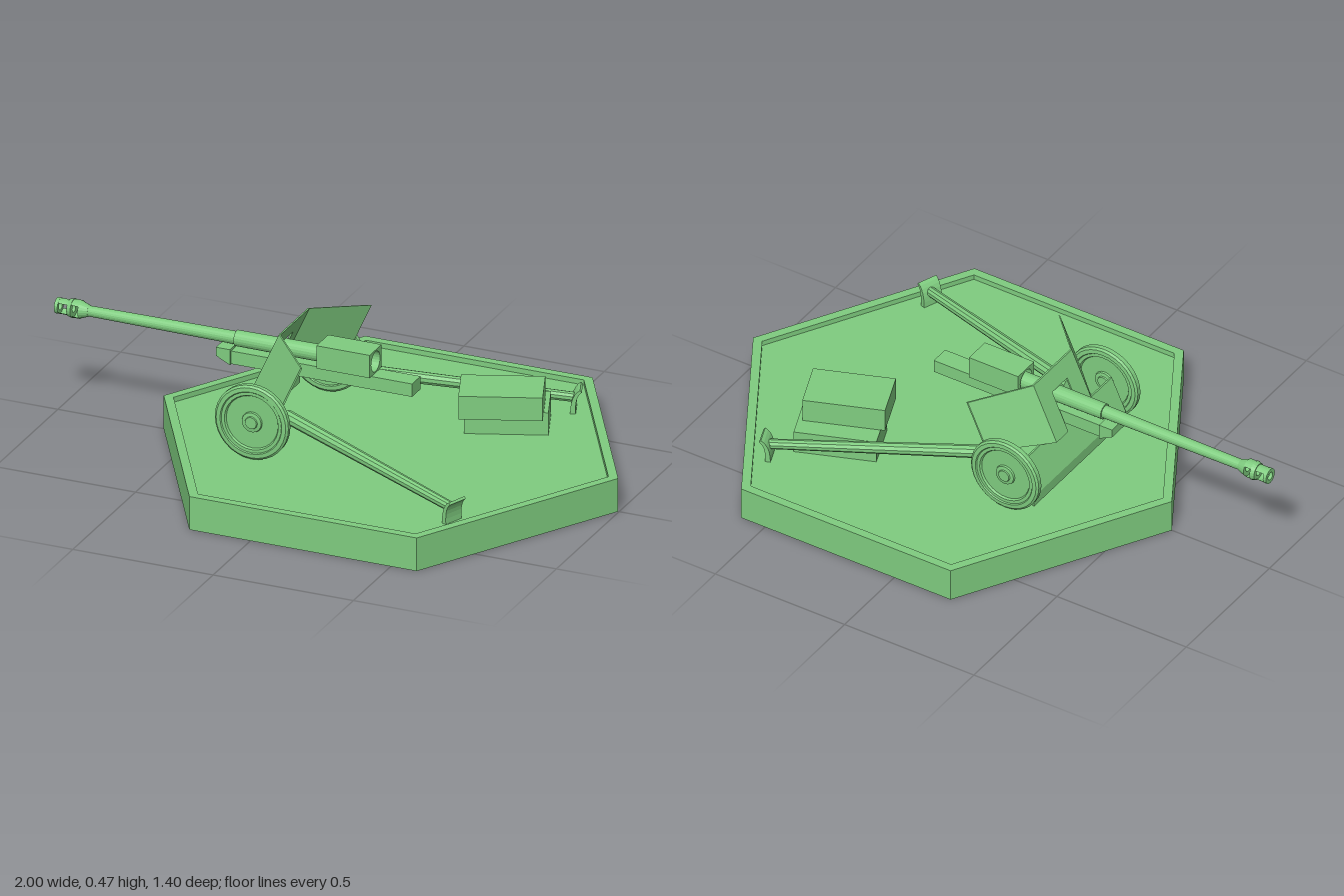
import * as THREE from 'three';

const mat = new THREE.MeshStandardMaterial({ color: 0x7fcc7f, flatShading: true, side: THREE.DoubleSide });
const CZ = 0.006;    // centre line of the gun
const BARREL_Y = 0.374;
const FLOOR = 0.1;

function add(parent, name, geometry, x = 0, y = 0, z = 0) {
  const m = new THREE.Mesh(geometry, mat);
  m.name = name;
  m.position.set(x, y, z);
  parent.add(m);
  return m;
}

// Box from its limits
function block(parent, name, x0, x1, y0, y1, z0, z1) {
  return add(parent, name, new THREE.BoxGeometry(x1 - x0, y1 - y0, z1 - z0),
    (x0 + x1) / 2, (y0 + y1) / 2, (z0 + z1) / 2);
}

// Round part turned about the x axis from [x, radius] pairs
function turned(pairs, segments = 20) {
  return new THREE.LatheGeometry(pairs.map(([x, r]) => new THREE.Vector2(r, x)), segments).rotateZ(-Math.PI / 2);
}

// Flat plate between coplanar corners, thickened along x
function plate(corners, t = 0.006) {
  const n = corners.length, pos = [], idx = [];
  for (const dx of [-t / 2, t / 2]) corners.forEach(([x, y, z]) => pos.push(x + dx, y, z));
  for (let i = 1; i < n - 1; i++) idx.push(0, i, i + 1, n, n + i + 1, n + i);
  for (let i = 0; i < n; i++) {
    const j = (i + 1) % n;
    idx.push(i, n + i, j, j, n + i, n + j);
  }
  const g = new THREE.BufferGeometry();
  g.setAttribute('position', new THREE.Float32BufferAttribute(pos, 3));
  g.setIndex(idx);
  const flat = g.toNonIndexed();
  flat.computeVertexNormals();
  return flat;
}

function hexagon(r) {
  return Array.from({ length: 6 }, (_, i) =>
    new THREE.Vector2(r * Math.cos(i * Math.PI / 3), r * Math.sin(i * Math.PI / 3)));
}

function makeBase() {
  const base = new THREE.Group();
  base.name = 'base';
  const up = (shape, depth) => new THREE.ExtrudeGeometry(shape, { depth, bevelEnabled: false }).rotateX(-Math.PI / 2);
  const rim = new THREE.Shape(hexagon(0.81));
  rim.holes.push(new THREE.Path(hexagon(0.775)));
  add(base, 'baseRim', up(rim, 0.118), 0.187);
  add(base, 'baseFloor', up(new THREE.Shape(hexagon(0.776)), FLOOR), 0.187);
  return base;
}

function makeBarrel() {
  const g = new THREE.Group();
  g.name = 'barrelAssembly';
  g.position.set(0, BARREL_Y, CZ);
  add(g, 'barrel', turned([[-0.9, 0], [-0.9, 0.018], [-0.36, 0.022], [-0.36, 0.027], [-0.04, 0.029], [-0.04, 0]]));
  // Muzzle brake: three rings joined by curved bars above and below, open at the sides
  const ring = (name, x0, r0, x1, r1) =>
    add(g, name, turned([[x0, 0.014], [x0, r0], [x1, r1], [x1, 0.014], [x0, 0.014]]));
  ring('muzzleRing', -1, 0.027, -0.988, 0.027);
  ring('middleRing', -0.955, 0.029, -0.94, 0.033);
  ring('rearRing', -0.915, 0.03, -0.885, 0.019);
  for (const s of [1, -1]) {
    for (const [x0, x1, r] of [[-0.99, -0.953, 0.026], [-0.942, -0.913, 0.031]]) {
      const start = (s > 0 ? 1.5 : 0.5) * Math.PI - 0.9;
      const bar = new THREE.CylinderGeometry(r, r, x1 - x0, 8, 1, true, start, 1.8).rotateZ(-Math.PI / 2);
      add(g, 'brakeBar', bar, (x0 + x1) / 2);
    }
  }
  // Breech with a round opening at its rear
  const square = new THREE.Shape([[-0.048, -0.034], [0.048, -0.034], [0.048, 0.047], [-0.048, 0.047]]
    .map(p => new THREE.Vector2(...p)));
  square.holes.push(new THREE.Path().absarc(0, 0.006, 0.035, 0, Math.PI * 2, true));
  add(g, 'breech', new THREE.ExtrudeGeometry(square, { depth: 0.19, bevelEnabled: false, curveSegments: 12 })
    .rotateY(Math.PI / 2), -0.055);
  return g;
}

function makeCradle() {
  const g = new THREE.Group();
  g.name = 'cradle';
  block(g, 'cradleBeam', -0.37, 0.28, 0.294, 0.34, CZ - 0.034, CZ + 0.034);
  const nose = new THREE.Shape([[-0.415, 0.348], [-0.415, 0.318], [-0.365, 0.293], [-0.365, 0.348]]
    .map(p => new THREE.Vector2(...p)));
  add(g, 'cradleNose', new THREE.ExtrudeGeometry(nose, { depth: 0.086, bevelEnabled: false }), 0, 0, CZ - 0.043);
  return g;
}

function makeShield() {
  const g = new THREE.Group();
  g.name = 'shield';
  const slope = y => -0.155 + (y - 0.47) * 0.457;
  const at = (y, z) => [slope(y), y, CZ + z];
  const wing = (y, z) => [slope(y) + Math.abs(z) - 0.115, y, CZ + z];
  const low = 0.274, mid = 0.41, top = 0.47;
  for (const s of [1, -1]) {
    add(g, 'shieldCentre', plate([at(low, s * 0.045), at(low, s * 0.115), at(top, s * 0.115), at(top, s * 0.045)]));
    add(g, 'shieldWing', plate([wing(low, s * 0.115), wing(low, s * 0.277), wing(0.443, s * 0.277), wing(top, s * 0.115)]));
  }
  add(g, 'shieldBridge', plate([at(mid, -0.045), at(mid, 0.045), at(top, 0.045), at(top, -0.045)]));
  // Apron between the wheels, with an upright flap below
  const apron = (x, y, s) => [x, y, CZ + s * 0.275];
  add(g, 'apron', plate([apron(-0.26, 0.16, -1), apron(-0.26, 0.16, 1), apron(-0.207, low, 1), apron(-0.207, low, -1)]));
  add(g, 'apronFlap', plate([apron(-0.26, 0.122, -1), apron(-0.26, 0.122, 1), apron(-0.26, 0.16, 1), apron(-0.26, 0.16, -1)]));
  return g;
}

function makeWheel() {
  // Half profile as [radius, offset], mirrored for the other face
  const half = [[0, 0.016], [0.02, 0.016], [0.022, 0.012], [0.034, 0.01], [0.036, 0.004], [0.092, 0.004],
    [0.096, 0.011], [0.107, 0.011], [0.11, 0.015], [0.124, 0.014], [0.131, 0.008]];
  const pts = [...half.map(([r, o]) => new THREE.Vector2(r, -o)),
    ...half.slice().reverse().map(([r, o]) => new THREE.Vector2(r, o))];
  return new THREE.LatheGeometry(pts, 32).rotateX(Math.PI / 2);
}

function makeTrail(s) {
  const g = new THREE.Group();
  g.name = s > 0 ? 'leftTrail' : 'rightTrail';
  const a = new THREE.Vector3(-0.085, 0.231, CZ + s * 0.213), b = new THREE.Vector3(0.63, 0.145, CZ + s * 0.486);
  const dir = b.clone().sub(a);
  const leg = add(g, 'trailLeg', new THREE.CylinderGeometry(0.017, 0.023, dir.length(), 10));
  leg.position.copy(a).lerp(b, 0.5);
  leg.quaternion.setFromUnitVectors(new THREE.Vector3(0, 1, 0), dir.normalize());
  // Curved spade across the end of the leg
  const spade = new THREE.Shape();
  spade.moveTo(-0.012, FLOOR);
  spade.quadraticCurveTo(-0.012, 0.165, 0.02, 0.183);
  spade.lineTo(0.026, 0.176);
  spade.quadraticCurveTo(0.002, 0.16, 0.006, FLOOR);
  const blade = new THREE.ExtrudeGeometry(spade, { depth: 0.072, bevelEnabled: false, curveSegments: 6 });
  blade.translate(0, 0, -0.036);
  add(g, 'spade', blade, 0.626, 0, CZ + s * 0.487).rotation.y = -s * 0.365;
  return g;
}

export function createModel() {
  const model = new THREE.Group();
  model.name = 'fieldGunOnBase';
  model.add(makeBase(), makeBarrel(), makeCradle(), makeShield());

  const wheel = makeWheel();
  for (const s of [1, -1]) {
    add(model, s > 0 ? 'leftWheel' : 'rightWheel', wheel, -0.17, 0.232, CZ + s * 0.298);
    model.add(makeTrail(s));
  }

  // Two stacked ammunition crates
  for (const [name, x, z, y0, y1] of [['lowerCrate', 0.473, -0.29, FLOOR - 0.005, 0.18], ['upperCrate', 0.483, -0.222, 0.18, 0.262]]) {
    const crate = add(model, name, new THREE.BoxGeometry(0.275, y1 - y0, 0.175), x, (y0 + y1) / 2, z);
    crate.rotation.y = 0.37;
  }
  return model;
}
